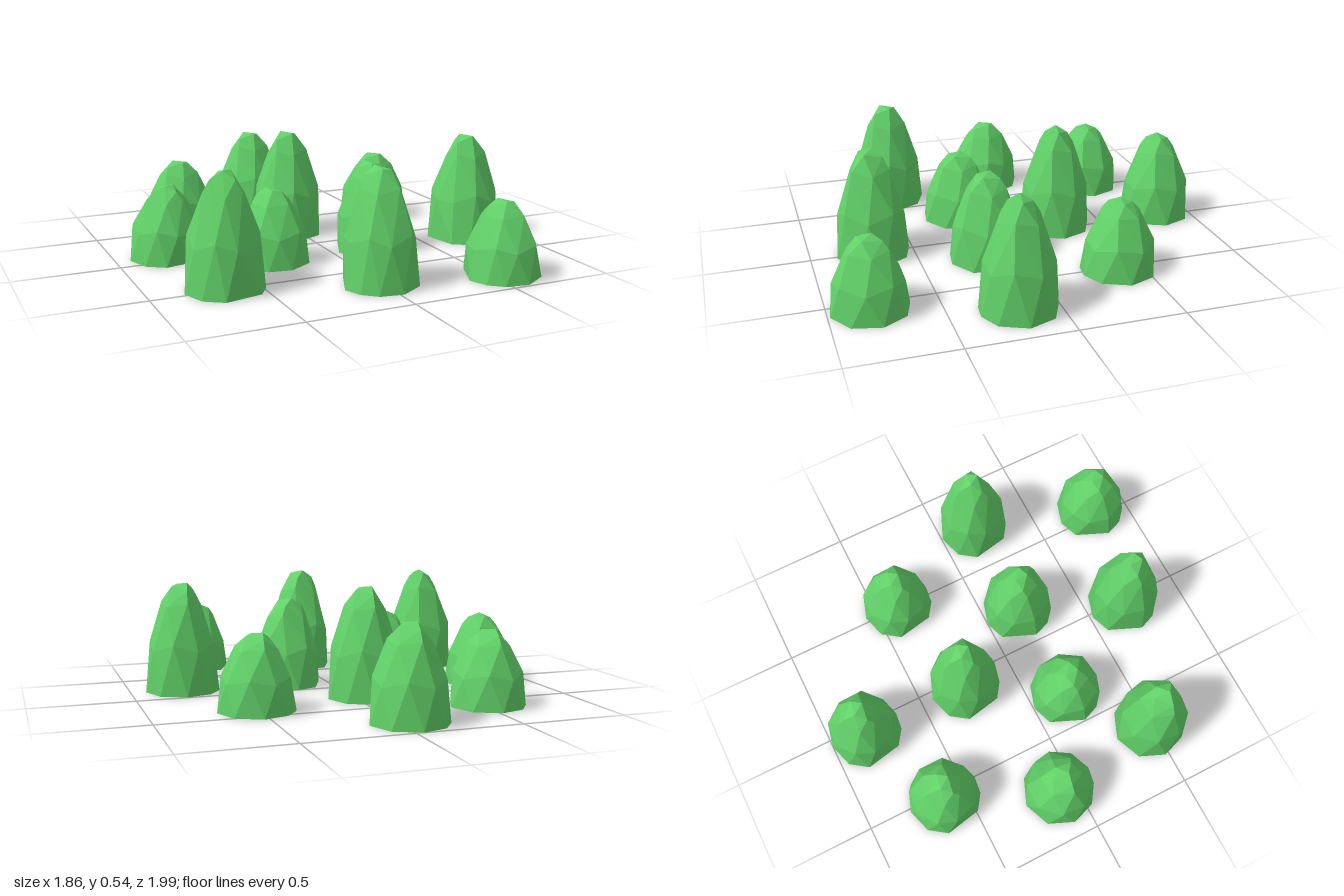
import * as THREE from 'three';
import { ConvexGeometry } from 'three/addons/geometries/ConvexGeometry.js';

// One faceted dome of unit height: rings of [angle in degrees, radius, y]
function bushGeometry() {
  const base = [199, 233, 273, 317, 2, 47, 83, 110, 139].map((a) => [a, 0.181, 0]);
  const middle = [180, 214, 252, 295, 340, 25, 66, 100, 140]
    .map((a, i) => [a, 0.162, i % 2 ? 0.46 : 0.39]);
  const upper = [196, 262, 325, 28, 92, 145].map((a, i) => [a, 0.1, i % 2 ? 0.83 : 0.79]);
  const crown = [[200, 0.032, 1], [255, 0.07, 0.93], [0, 0.045, 0.97], [75, 0.045, 0.985], [155, 0.075, 0.93]];
  const points = [...base, ...middle, ...upper, ...crown].map(([a, r, y]) => {
    const t = THREE.MathUtils.degToRad(a);
    return new THREE.Vector3(r * Math.cos(t), y, r * Math.sin(t));
  });
  const hull = new ConvexGeometry(points).getAttribute('position');

  // Keep the shell only: the underside stays open
  const shell = [];
  for (let i = 0; i < hull.count; i += 3) {
    const corners = [i, i + 1, i + 2];
    if (corners.every((c) => hull.getY(c) < 1e-4)) continue;
    for (const c of corners) shell.push(hull.getX(c), hull.getY(c), hull.getZ(c));
  }
  const geometry = new THREE.BufferGeometry();
  geometry.setAttribute('position', new THREE.Float32BufferAttribute(shell, 3));
  geometry.computeVertexNormals();
  return geometry;
}

export function createModel() {
  const group = new THREE.Group();
  group.name = 'bushes';
  const geometry = bushGeometry();
  const leaf = new THREE.MeshStandardMaterial({ color: 0x62d269, flatShading: true, side: THREE.DoubleSide });

  // Each bush: x, z, height, turn in degrees
  const low = 0.355, medium = 0.44, tall = 0.535;
  const bushes = [
    [-0.045, -0.82, medium, 0],
    [-0.525, -0.61, low, 0],
    [0.515, -0.38, low, 0],
    [-0.05, -0.26, tall, 0],
    [0.745, 0.185, tall, 0],
    [-0.315, 0.185, low, -34],
    [0.21, 0.18, medium, -34],
    [-0.01, 0.695, tall, -34],
    [0.555, 0.81, low, -34],
    [-0.75, -0.085, low, 92],
    [-0.66, 0.485, tall, 92],
  ];
  bushes.forEach(([x, z, height, turn], i) => {
    const bush = new THREE.Mesh(geometry, leaf);
    bush.name = `bush${i + 1}`;
    bush.position.set(x, 0, z);
    bush.scale.y = height;
    bush.rotation.y = THREE.MathUtils.degToRad(turn);
    group.add(bush);
  });
  return group;
}
